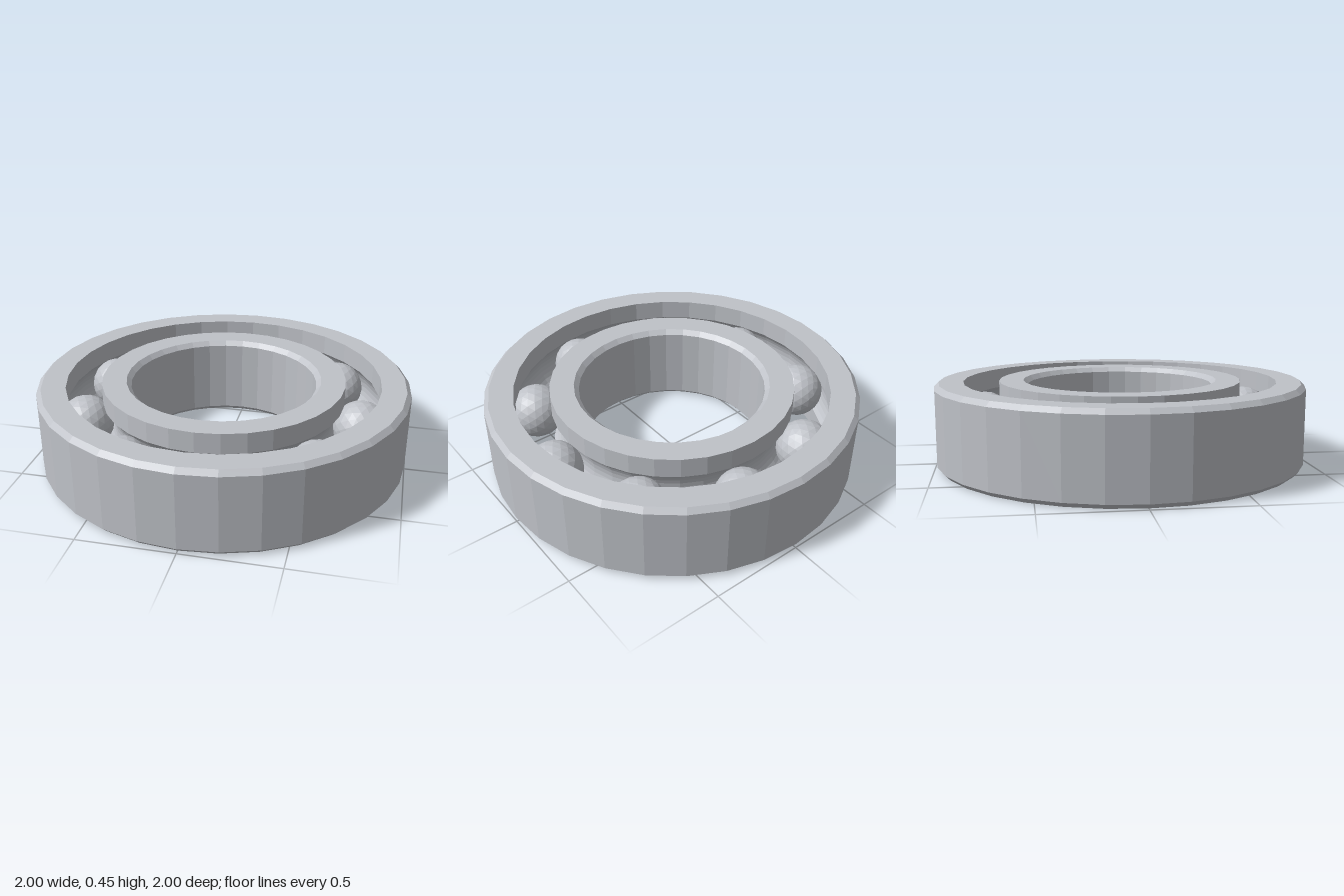
import * as THREE from 'three';

const H = 0.45, MID = H / 2;      // ring height and mid plane
const PITCH = 0.75, BALLS = 9;    // ball circle
const BALL_R = 0.147, GROOVE_R = 0.15;
const SHOULDER = 0.095;           // ring wall distance from the ball circle
const C = 0.025;                  // chamfer

// Arc of the ball groove in (radius, height); side +1 = outer ring, -1 = inner ring
function groove(side) {
  const a = Math.acos(SHOULDER / GROOVE_R), steps = 10, pts = [];
  for (let i = 0; i <= steps; i++) {
    const t = a - (2 * a * i) / steps;
    pts.push([PITCH + side * GROOVE_R * Math.cos(t), MID + side * GROOVE_R * Math.sin(t)]);
  }
  return pts;
}

// Closed profile, counterclockwise, turned into a faceted ring
function ring(name, profile, material) {
  const pts = [...profile, profile[0]].map(([r, y]) => new THREE.Vector2(r, y));
  const mesh = new THREE.Mesh(new THREE.LatheGeometry(pts, 32), material);
  mesh.name = name;
  return mesh;
}

export function createModel() {
  const model = new THREE.Group();
  model.name = 'ballBearing';
  const steel = new THREE.MeshStandardMaterial({ color: 0xbfc2c8, flatShading: true });
  steel.name = 'steel';

  // Outer race: chamfered outside, grooved inside
  const ro = PITCH + SHOULDER;
  model.add(ring('outerRace', [
    [1 - C, 0], [1, C], [1, H - C], [1 - C, H],
    [ro, H], ...groove(1), [ro, 0],
  ], steel));

  // Inner race: grooved outside, chamfered bore
  const ri = PITCH - SHOULDER;
  model.add(ring('innerRace', [
    [ri, 0], ...groove(-1), [ri, H],
    [0.5 + C, H], [0.5, H - C], [0.5, C], [0.5 + C, 0],
  ], steel));

  // Balls
  const balls = new THREE.Group();
  balls.name = 'balls';
  const ballGeometry = new THREE.IcosahedronGeometry(BALL_R, 3);
  for (let i = 0; i < BALLS; i++) {
    const a = (i / BALLS) * Math.PI * 2;
    const ball = new THREE.Mesh(ballGeometry, steel);
    ball.name = 'ball' + (i + 1);
    ball.position.set(PITCH * Math.cos(a), MID, PITCH * Math.sin(a));
    balls.add(ball);
  }
  model.add(balls);
  return model;
}
